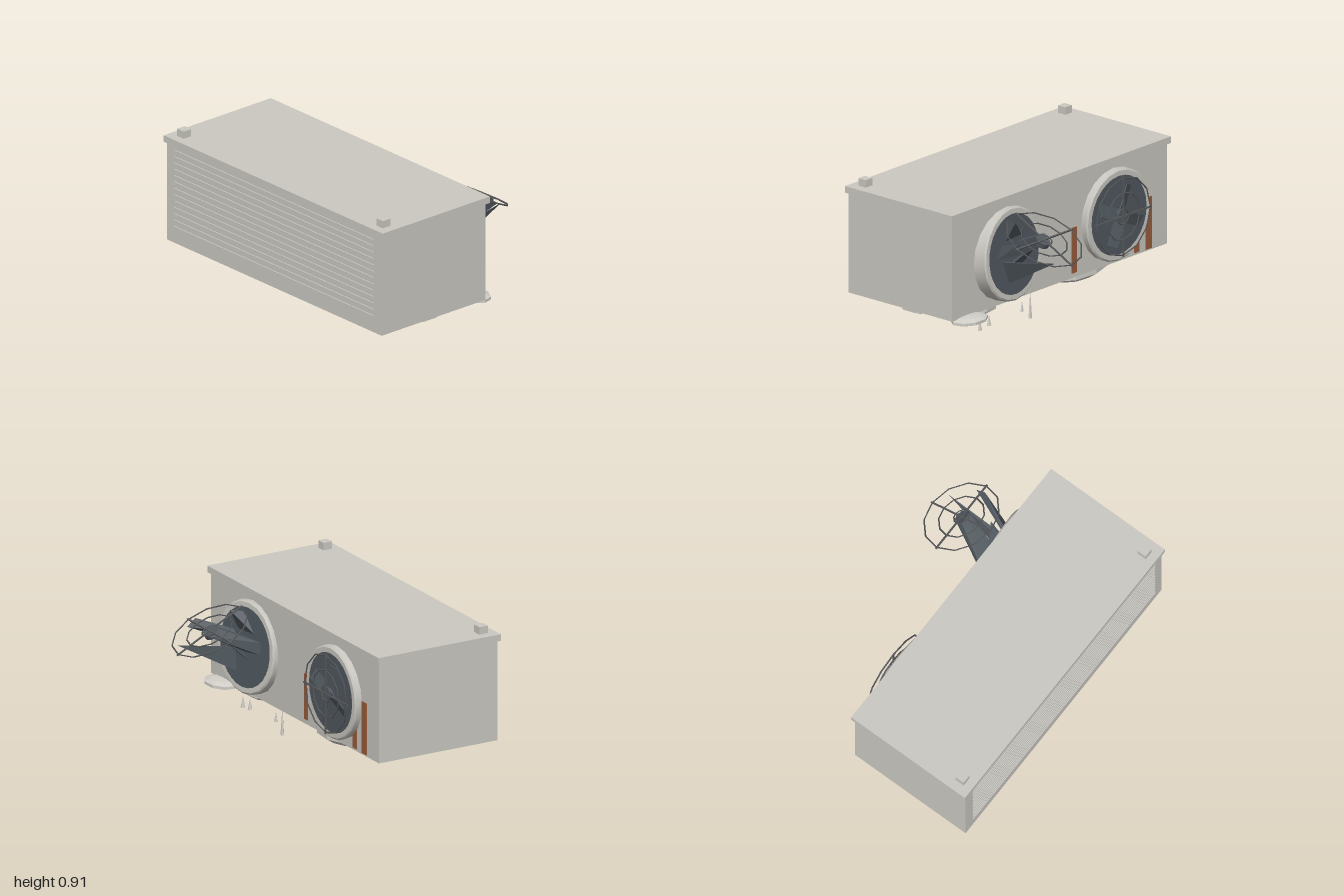
import * as THREE from 'three';
import { toCreasedNormals } from 'three/addons/utils/BufferGeometryUtils.js';
import { ConvexGeometry } from 'three/addons/geometries/ConvexGeometry.js';

function material(name, color, flat = false) {
  const m = new THREE.MeshStandardMaterial({ color, flatShading: flat });
  m.name = name;
  return m;
}

export function createModel() {
  const model = new THREE.Group();
  model.name = 'ventilationUnit';
  const casing = material('casing grey', 0xcac8c1);
  const ice = material('pale lumps', 0xd0cec7, true);
  const dark = material('dark blade metal', 0x50585f, true);
  const wire = material('guard wire', 0x595b5c);
  const rust = material('rust', 0x995c3b);

  function add(parent, name, geometry, mat, x = 0, y = 0, z = 0) {
    const mesh = new THREE.Mesh(geometry, mat);
    mesh.name = name;
    mesh.position.set(x, y, z);
    parent.add(mesh);
    return mesh;
  }
  const box = (name, mat, w, h, d, x, y, z, parent = model) =>
    add(parent, name, new THREE.BoxGeometry(w, h, d), mat, x, y, z);

  // Casing, lid and lid lugs
  box('casing', casing, 1.96, 0.64, 0.835, 0, 0.5, 0.2625);
  box('lid', casing, 2, 0.042, 0.86, 0, 0.839, 0.26);
  for (const s of [-1, 1]) box('lidLug', casing, 0.06, 0.05, 0.06, s * 0.91, 0.882, 0.605);

  // Front louvre slats
  for (let i = 0; i < 13; i++)
    box('louvreSlat', casing, 1.82, 0.012, 0.014, 0, 0.285 + i * 0.0417, 0.68);

  // Round fan collar with a dark plate, facing -z
  function collar(parent, front, back) {
    const profile = [[0.245, back], [0.292, back], [0.292, front - 0.008], [0.282, front],
      [0.25, front], [0.245, front - 0.01], [0.245, back]].map(p => new THREE.Vector2(...p));
    const ring = new THREE.LatheGeometry(profile, 20).rotateX(-Math.PI / 2);
    add(parent, 'fanCollar', toCreasedNormals(ring, 0.5), casing);
    const plate = new THREE.CylinderGeometry(0.25, 0.25, 0.02, 28).rotateX(Math.PI / 2);
    add(parent, 'fanPlate', plate, dark, 0, 0, -front + 0.008);
  }

  // Wire guard: concentric rings and a cross, in the XY plane
  function guard(parent) {
    const g = new THREE.Group();
    g.name = 'wireGuard';
    for (const r of [0.05, 0.15, 0.247])
      add(g, 'guardRing', new THREE.TorusGeometry(r, 0.005, 4, 12), wire);
    box('guardBar', wire, 0.515, 0.01, 0.008, 0, 0, 0, g);
    box('guardBar', wire, 0.01, 0.515, 0.008, 0, 0, 0, g);
    const hub = new THREE.CylinderGeometry(0.042, 0.042, 0.035, 12).rotateX(Math.PI / 2);
    add(g, 'hub', hub, dark, 0, 0, 0.022);
    parent.add(g);
    return g;
  }

  // Intact fan with four pitched blades
  const fan = new THREE.Group();
  fan.name = 'intactFan';
  fan.position.set(-0.49, 0.495, -0.155);
  collar(fan, 0.045, -0.02);
  guard(fan).position.z = -0.08;
  for (let i = 0; i < 4; i++) {
    const arm = new THREE.Group();
    arm.name = 'bladeArm';
    arm.rotation.z = i * Math.PI / 2 + 0.4;
    box('fanBlade', dark, 0.17, 0.08, 0.005, 0.11, 0, -0.058, arm).rotation.x = 0.35;
    fan.add(arm);
  }
  model.add(fan);

  // Burst fan: tilted collar and a guard bent outward
  const burst = new THREE.Group();
  burst.name = 'burstFan';
  burst.position.set(0.49, 0.495, -0.155);
  burst.rotation.set(0.08, 0.09, 0);
  collar(burst, 0.06, -0.06);
  model.add(burst);
  const bent = guard(model);
  bent.position.set(0.49, 0.647, -0.462);
  bent.rotation.x = 1.094;

  // Torn blades thrust out of the burst fan
  function shard(points) {
    const pts = points.map(p => new THREE.Vector3(...p));
    add(model, 'tornBlade', new ConvexGeometry(pts), dark);
  }
  shard([[0.55, 0.32, -0.21], [0.6, 0.47, -0.21], [0.57, 0.47, -0.21], [0.583, 0.555, -0.63]]);
  shard([[0.33, 0.49, -0.2], [0.48, 0.47, -0.21], [0.33, 0.57, -0.2], [0.48, 0.57, -0.21],
    [0.45, 0.67, -0.43], [0.53, 0.67, -0.43], [0.46, 0.625, -0.49], [0.53, 0.625, -0.49]]);
  shard([[0.58, 0.56, -0.21], [0.65, 0.5, -0.22], [0.6, 0.58, -0.21],
    [0.695, 0.665, -0.44], [0.69, 0.62, -0.5]]);
  shard([[0.4, 0.41, -0.2], [0.52, 0.42, -0.2], [0.5, 0.45, -0.2], [0.48, 0.62, -0.42]]);
  shard([[0.4, 0.6, -0.2], [0.56, 0.57, -0.2], [0.52, 0.72, -0.2], [0.55, 0.73, -0.285]]);

  // Rust streaks on the back wall: x, bottom, top, width
  for (const [x, lo, hi, w] of [[-0.13, 0.21, 0.5, 0.042], [-0.81, 0.19, 0.52, 0.055], [-0.7, 0.195, 0.4, 0.045]])
    box('rustStreak', rust, w, hi - lo, 0.008, x, (lo + hi) / 2, -0.156);

  // Flattened lumps under the casing: x, y, z, then half sizes
  const lumps = [
    [0.77, 0.165, 0.24, 0.17, 0.05, 0.16], [0.84, 0.165, -0.17, 0.14, 0.028, 0.1],
    [0.62, 0.165, -0.01, 0.17, 0.06, 0.13], [-0.33, 0.165, 0.0, 0.25, 0.07, 0.15],
    [-0.42, 0.165, 0.31, 0.19, 0.05, 0.17], [-0.36, 0.165, 0.14, 0.18, 0.07, 0.13],
    [-0.48, 0.165, 0.2, 0.18, 0.05, 0.14],
  ];
  lumps.forEach(([x, y, z, a, b, c], i) => {
    const lump = add(model, 'underLump',
      new THREE.SphereGeometry(1, 9, 5).rotateY(i * 0.9).scale(a, b, c), ice, x, y, z);
    lump.rotation.z = (i % 3 - 1) * 0.05;
  });

  // Hanging drips, wider at the foot: x, foot, height, radius
  for (const [x, foot, h, r] of [[0.22, 0, 0.18, 0.012], [0.295, 0.062, 0.068, 0.011],
    [0.597, 0.05, 0.07, 0.015], [0.68, 0.04, 0.075, 0.015]])
    add(model, 'drip', new THREE.ConeGeometry(r, h, 5), ice, x, foot + h / 2, -0.112);

  return model;
}
